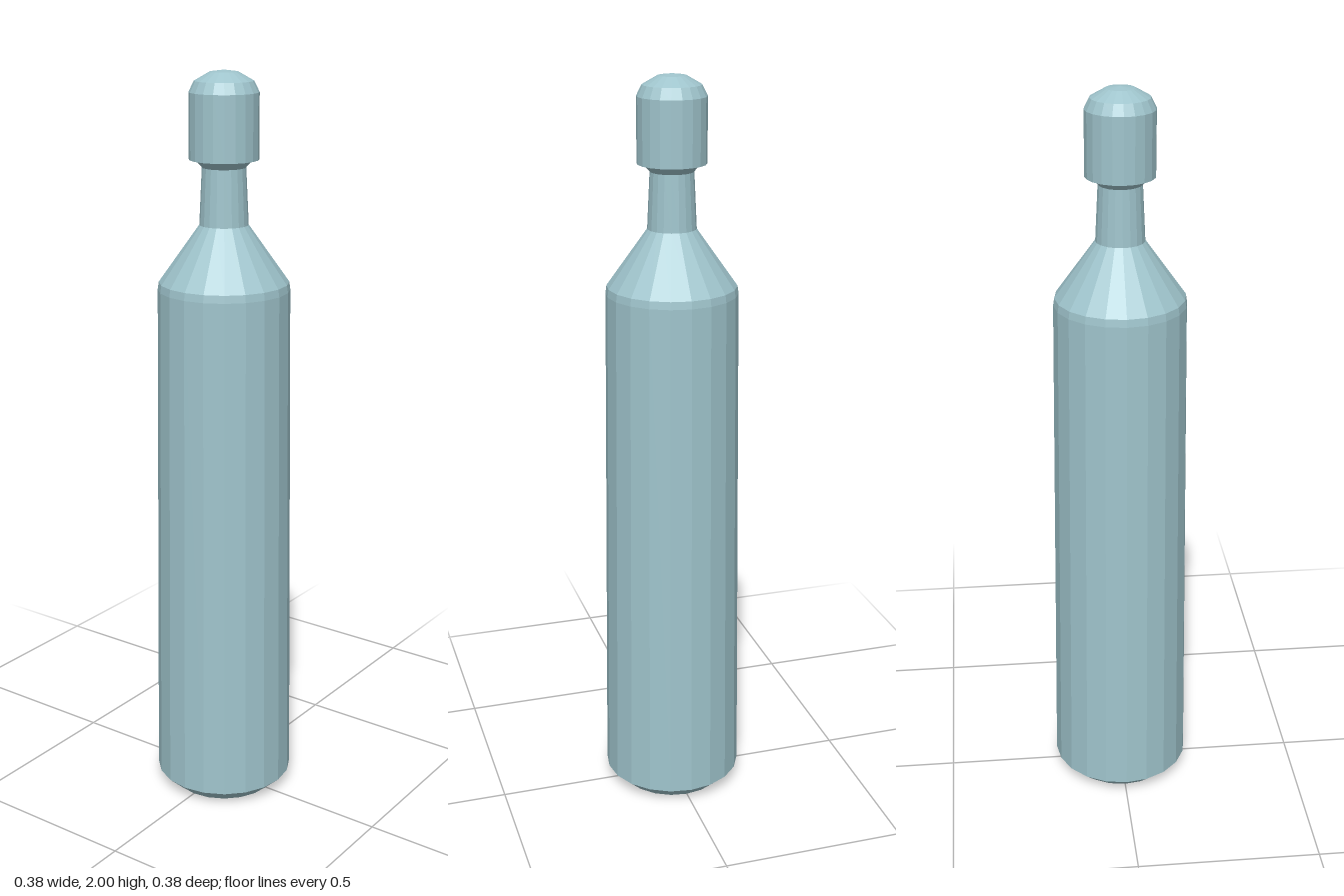
import * as THREE from 'three';

const SIDES = 20;

// Revolve a [radius, height] profile, listed from bottom to top
function turned(name, profile, material) {
  const points = profile.map(([r, y]) => new THREE.Vector2(r, y));
  const mesh = new THREE.Mesh(new THREE.LatheGeometry(points, SIDES), material);
  mesh.name = name;
  return mesh;
}

export function createModel() {
  const group = new THREE.Group();
  group.name = 'bottle';
  const material = new THREE.MeshStandardMaterial({ color: 0x9fc4cc, flatShading: true });

  // Tapered body with bevelled foot and sloping shoulder
  group.add(turned('body', [
    [0, 0], [0.147, 0], [0.19, 0.04], [0.174, 1.44], [0.171, 1.46], [0.064, 1.61],
  ], material));

  // Slim neck, flaring under the cap
  group.add(turned('neck', [
    [0.064, 1.61], [0.057, 1.757], [0.075, 1.777],
  ], material));

  // Cap with flat underside and domed top
  group.add(turned('cap', [
    [0.075, 1.777], [0.09, 1.777], [0.09, 1.945], [0.076, 1.973], [0.037, 1.995], [0, 2],
  ], material));

  return group;
}
